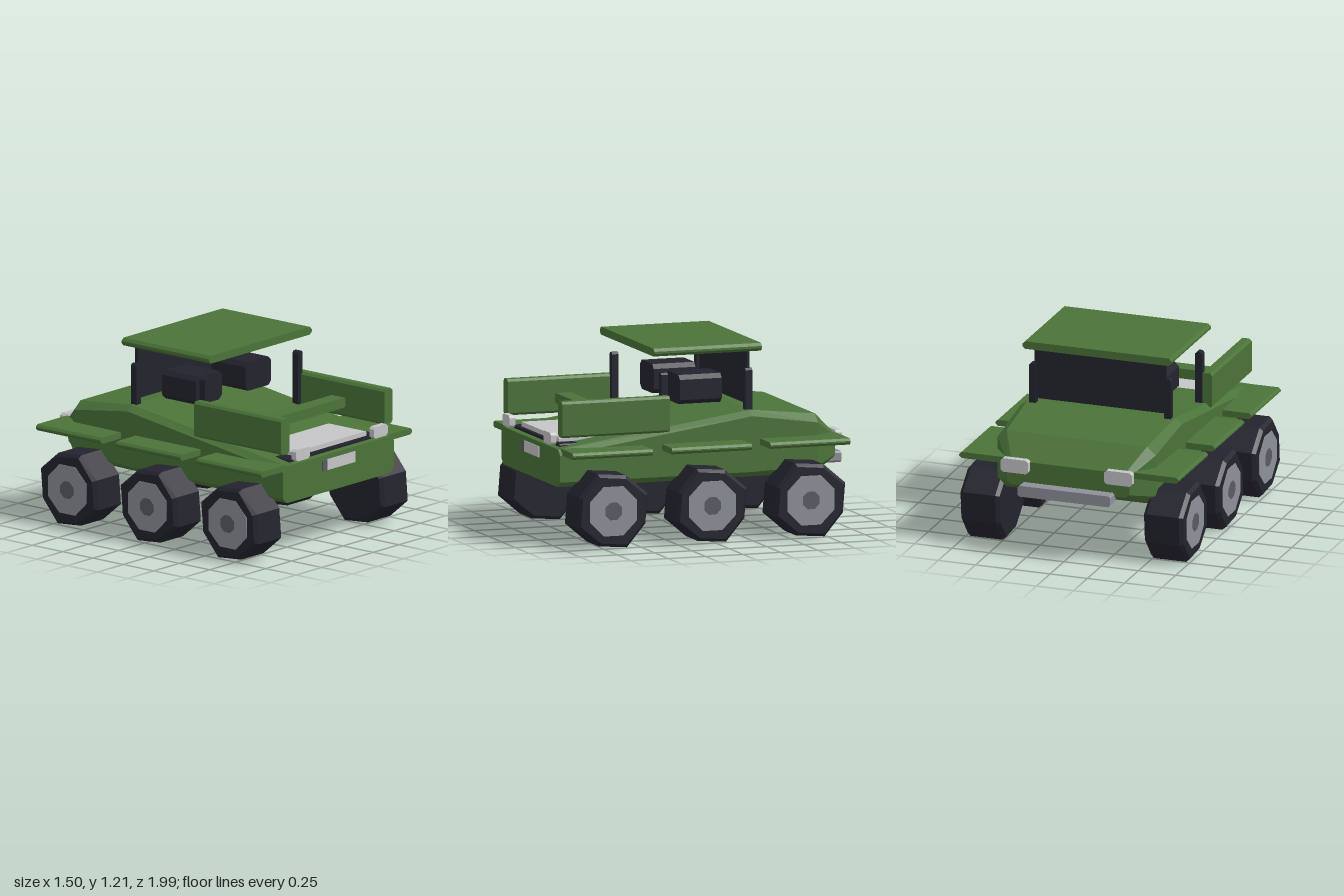
import * as THREE from 'three';

const mat = (name, color) => {
  const m = new THREE.MeshStandardMaterial({ color });
  m.name = name;
  return m;
};

export function createModel() {
  const root = new THREE.Group();
  root.name = 'sixWheelTruck';
  const green = mat('green', 0x4b7339);
  const dark = mat('darkRubber', 0x23232e);
  const light = mat('lightGrey', 0xc6c6c9);
  const grey = mat('midGrey', 0x8e9099);
  const slate = mat('slate', 0x5a5c64);

  const add = (name, geometry, material, parent = root) => {
    const mesh = new THREE.Mesh(geometry, material);
    mesh.name = name;
    parent.add(mesh);
    return mesh;
  };

  // Block with cut corners in its front outline, extruded along z
  const block = (name, material, [x0, x1], [y0, y1], [z0, z1], c = 0.015) => {
    const outline = [
      [x0 + c, y0], [x1 - c, y0], [x1, y0 + c], [x1, y1 - c],
      [x1 - c, y1], [x0 + c, y1], [x0, y1 - c], [x0, y0 + c],
    ].map(([x, y]) => new THREE.Vector2(x, y));
    const g = new THREE.ExtrudeGeometry(new THREE.Shape(outline), { depth: z1 - z0, bevelEnabled: false });
    g.translate(0, 0, z0);
    return add(name, g, material);
  };
  // The same block on both sides
  const pair = (name, material, [x0, x1], y, z, c) => {
    block(name + 'Left', material, [x0, x1], y, z, c);
    block(name + 'Right', material, [-x1, -x0], y, z, c);
  };

  // Flat-faced skin through equal-sized rings, closed at both ends
  const loft = (rings) => {
    const pos = [];
    const tri = (...pts) => pts.forEach((p) => pos.push(...p));
    const n = rings[0].length;
    for (let i = 0; i < rings.length - 1; i++) {
      for (let j = 0; j < n; j++) {
        const k = (j + 1) % n;
        const [a, b, c, d] = [rings[i][j], rings[i][k], rings[i + 1][k], rings[i + 1][j]];
        tri(a, d, b);
        tri(b, d, c);
      }
    }
    const first = rings[0], last = rings[rings.length - 1];
    for (let j = 1; j < n - 1; j++) {
      tri(first[0], first[j], first[j + 1]);
      tri(last[0], last[j + 1], last[j]);
    }
    const g = new THREE.BufferGeometry();
    g.setAttribute('position', new THREE.Float32BufferAttribute(pos, 3));
    g.computeVertexNormals();
    return g;
  };

  // Hull: z, half width, half width of top and bottom, bottom, top, chamfer height
  const hullRings = [
    [0.965, 0.54, 0.50, 0.375, 0.615, 0.035],
    [-0.32, 0.54, 0.495, 0.375, 0.80, 0.035],
    [-0.765, 0.53, 0.47, 0.375, 0.75, 0.05],
    [-0.92, 0.41, 0.38, 0.45, 0.61, 0.02],
  ].map(([z, w, t, y0, y1, c]) => [
    [-t, y0, z], [t, y0, z], [w, y0 + c, z], [w, y1 - c, z],
    [t, y1, z], [-t, y1, z], [-w, y1 - c, z], [-w, y0 + c, z],
  ]);
  add('hull', loft(hullRings), green);

  // Cargo bed
  pair('bedSide', green, [0.462, 0.54], [0.69, 0.92], [0.23, 0.95], 0.015);
  block('bedRail', green, [-0.458, 0.458], [0.755, 0.82], [0.53, 0.635], 0.012);
  block('bedFloor', dark, [-0.435, 0.435], [0.60, 0.638], [0.55, 0.93], 0.008);
  block('bedPlate', light, [-0.345, 0.345], [0.632, 0.668], [0.55, 0.903], 0.008);

  // Cabin
  block('roof', green, [-0.5, 0.5], [1.17, 1.22], [-0.4, 0.32], 0.018);
  block('cabinScreen', dark, [-0.44, 0.44], [0.83, 1.172], [-0.34, -0.32], 0.002);
  pair('screenPost', dark, [0.43, 0.475], [0.72, 1.06], [-0.345, -0.3], 0.012);
  pair('bedPost', dark, [0.43, 0.475], [0.68, 1.06], [0.22, 0.265], 0.012);
  pair('seat', dark, [0.115, 0.365], [0.835, 1.02], [-0.18, 0.1], 0.028);

  // Lamps, number plate and bumper
  pair('frontLamp', light, [0.31, 0.445], [0.637, 0.712], [0.955, 0.993], 0.015);
  pair('rearLamp', light, [0.255, 0.44], [0.54, 0.63], [-0.957, -0.915], 0.015);
  block('plate', light, [-0.115, 0.157], [0.515, 0.585], [0.964, 0.97], 0.001);
  block('plateBand', slate, [-0.16, -0.115], [0.515, 0.585], [0.964, 0.97], 0.001);
  block('bumper', grey, [-0.31, 0.31], [0.403, 0.475], [-1, -0.9], 0.012);

  // Wheels and fenders
  const tireRing = (x, inset) => Array.from({ length: 8 }, (_, i) => {
    const a = (i + 0.5) * Math.PI / 4;
    const r = (i % 2 ? 0.24 : 0.257) - inset;
    return [x, r * Math.sin(a), -r * Math.cos(a)];
  });
  const tireGeo = loft([
    tireRing(0.131, 0.022), tireRing(0.108, 0), tireRing(-0.108, 0), tireRing(-0.131, 0.022),
  ]);
  const disc = (r) => new THREE.CylinderGeometry(r, r, 0.008, 8, 1, false, Math.PI / 8).rotateZ(Math.PI / 2).toNonIndexed();
  const rimGeo = disc(0.17), capGeo = disc(0.06);
  for (const z of [0.684, 0.021, -0.638]) {
    pair('fender', green, [0.42, 0.735], [0.58, 0.62], [z - 0.27, z + 0.264], 0.015);
    for (const s of [1, -1]) {
      const wheel = new THREE.Group();
      wheel.name = s > 0 ? 'wheelLeft' : 'wheelRight';
      wheel.position.set(s * 0.615, 0.243, z);
      add('tire', tireGeo, dark, wheel);
      add('rim', rimGeo, grey, wheel).position.x = s * 0.13;
      add('hubCap', capGeo, slate, wheel).position.x = s * 0.133;
      root.add(wheel);
    }
  }
  return root;
}
